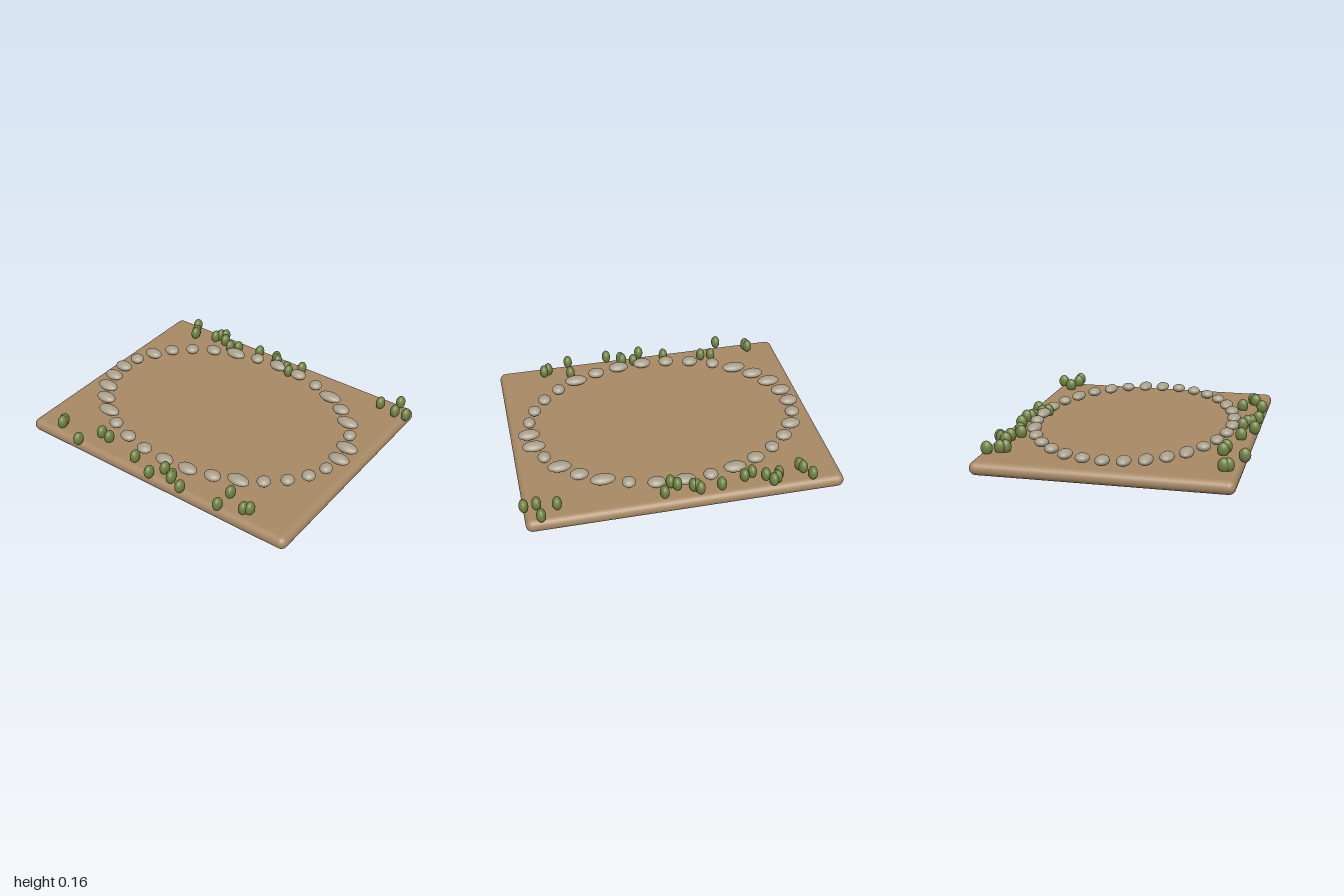
import * as THREE from 'three';
import { RoundedBoxGeometry } from 'three/addons/geometries/RoundedBoxGeometry.js';

const earth = new THREE.MeshStandardMaterial({ name: 'earth brown', color: 0xa88a66 });
const rock = new THREE.MeshStandardMaterial({ name: 'stone grey', color: 0xaaa18c });
const leaf = new THREE.MeshStandardMaterial({ name: 'leaf green', color: 0x6f8142 });

const CX = -0.015, CZ = -0.02; // centre of the slab and the stone ring

// Half widths of the ring stones, starting at +x and turning towards +z
const STONE_WIDTHS = [
  0.07, 0.04, 0.043, 0.043, 0.043, 0.075, 0.056, 0.067,
  0.061, 0.051, 0.054, 0.045, 0.079, 0.07, 0.074, 0.066,
  0.061, 0.048, 0.063, 0.052, 0.045, 0.056, 0.072, 0.046,
  0.07, 0.056, 0.043, 0.079, 0.058, 0.075, 0.041, 0.074,
];

// Shrub positions [x, z] along the two long edges
const BACK_SHRUBS = [
  [-0.80, -0.76], [-0.76, -0.69], [-0.745, -0.66], [-0.60, -0.71], [-0.58, -0.745],
  [-0.55, -0.765], [-0.515, -0.71], [-0.44, -0.665], [-0.385, -0.69], [-0.23, -0.735],
  [-0.095, -0.745], [-0.08, -0.72], [-0.06, -0.71], [0.035, -0.68], [0.07, -0.65],
  [0.125, -0.735], [0.875, -0.78], [0.77, -0.695], [0.89, -0.67], [0.967, -0.677],
];
const FRONT_SHRUBS = [
  [-0.80, 0.675], [-0.79, 0.70], [-0.59, 0.77], [-0.515, 0.63], [-0.445, 0.64],
  [-0.185, 0.695], [-0.02, 0.76], [0.035, 0.675], [0.11, 0.70], [0.12, 0.72],
  [0.215, 0.757], [0.49, 0.618], [0.49, 0.75], [0.635, 0.69], [0.667, 0.67],
];

const ball = new THREE.SphereGeometry(1, 24, 16);

function pebble(name, material, position, scale) {
  const mesh = new THREE.Mesh(ball, material);
  mesh.name = name;
  mesh.position.set(...position);
  mesh.scale.set(...scale);
  return mesh;
}

export function createModel() {
  const model = new THREE.Group();
  model.name = 'gardenPlot';

  // Flat ground slab with rounded rim
  const slab = new THREE.Mesh(new RoundedBoxGeometry(1.97, 0.085, 1.58, 5, 0.042), earth);
  slab.name = 'groundSlab';
  slab.position.set(CX, 0.0425, CZ);
  model.add(slab);

  // Oval ring of flattened stones
  const ring = new THREE.Group();
  ring.name = 'stoneRing';
  STONE_WIDTHS.forEach((w, i) => {
    const a = (i / STONE_WIDTHS.length) * Math.PI * 2;
    const position = [CX + 0.87 * Math.cos(a), 0.122, CZ + 0.635 * Math.sin(a)];
    ring.add(pebble('stone', rock, position, [w, 0.029, 0.044]));
  });
  model.add(ring);

  // Egg-shaped shrubs outside the ring
  const shrubs = new THREE.Group();
  shrubs.name = 'shrubs';
  for (const [x, z] of [...BACK_SHRUBS, ...FRONT_SHRUBS]) {
    shrubs.add(pebble('shrub', leaf, [x, 0.116, z], [0.029, 0.045, 0.037]));
  }
  model.add(shrubs);

  return model;
}
